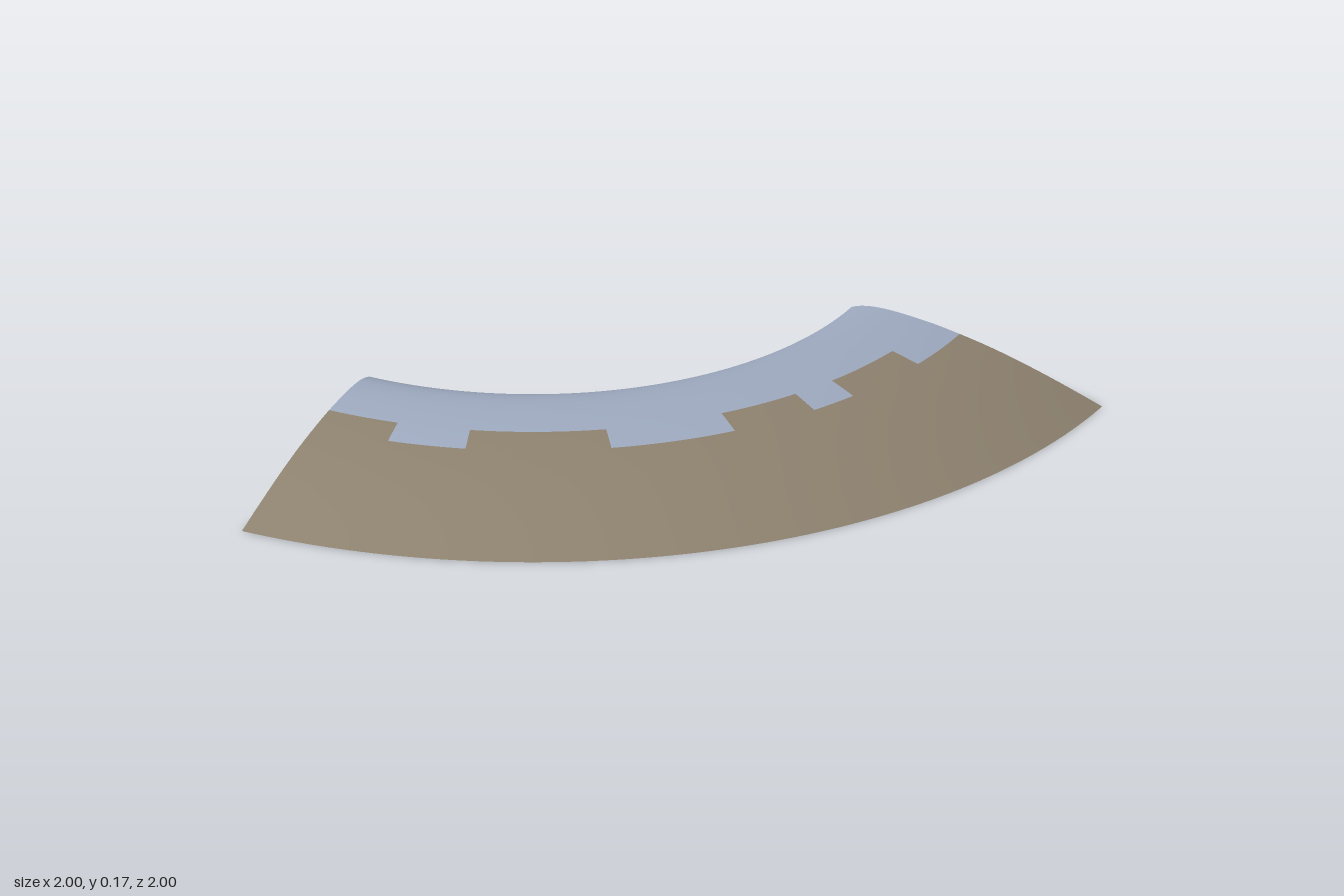
import * as THREE from 'three';

// Cross-section from the outer rim to the inner rim: [radius, height]
const PROFILE = [
  [2, 0], [1.9, 0.034], [1.8, 0.066], [1.7, 0.095], [1.6, 0.12], [1.5, 0.14],
  [1.4, 0.156], [1.28, 0.167], [1.2, 0.167], [1.15, 0.159], [1.12, 0.148],
];
const STEPS = 4;                 // samples between profile points
const SEGMENTS = 180;            // half a degree each
// Angular ranges in degrees where the inner band reaches out to radius 1.5
const TEETH = [[9.5, 19], [36.5, 52], [63, 69], [80.5, 90]];
const TOOTH_ROW = 5 * STEPS;     // profile sample at radius 1.5
const BAND_ROW = 6 * STEPS;      // profile sample at radius 1.4

export function createModel() {
  const group = new THREE.Group();
  const brown = new THREE.MeshStandardMaterial({ color: 0x8f8370, side: THREE.DoubleSide });
  brown.name = 'brown';
  const blueGrey = new THREE.MeshStandardMaterial({ color: 0x9fabc1, side: THREE.DoubleSide });
  blueGrey.name = 'blue grey';

  // Quarter-turn curved sheet
  const curve = new THREE.SplineCurve(PROFILE.map(([r, y]) => new THREE.Vector2(r, y)));
  const points = curve.getPoints(STEPS * (PROFILE.length - 1));
  const sheet = new THREE.LatheGeometry(points, SEGMENTS, 0, Math.PI / 2);
  sheet.translate(-1, 0, -1);

  // Share the cells of the sheet between the two toothed bands
  const rows = points.length - 1;
  const source = sheet.index.array;
  const inner = [], outer = [];
  for (let i = 0; i < SEGMENTS; i++) {
    const angle = (i + 0.5) * 90 / SEGMENTS;
    const tooth = TEETH.some(([a, b]) => angle > a && angle < b);
    for (let j = 0; j < rows; j++) {
      const start = (i * rows + j) * 6;
      const target = j >= (tooth ? TOOTH_ROW : BAND_ROW) ? inner : outer;
      target.push(...source.slice(start, start + 6));
    }
  }

  const addBand = (name, indices, material) => {
    const geometry = sheet.clone();
    geometry.setIndex(indices);
    const mesh = new THREE.Mesh(geometry, material);
    mesh.name = name;
    group.add(mesh);
  };
  addBand('outerSlope', outer, brown);
  addBand('innerBand', inner, blueGrey);
  return group;
}
